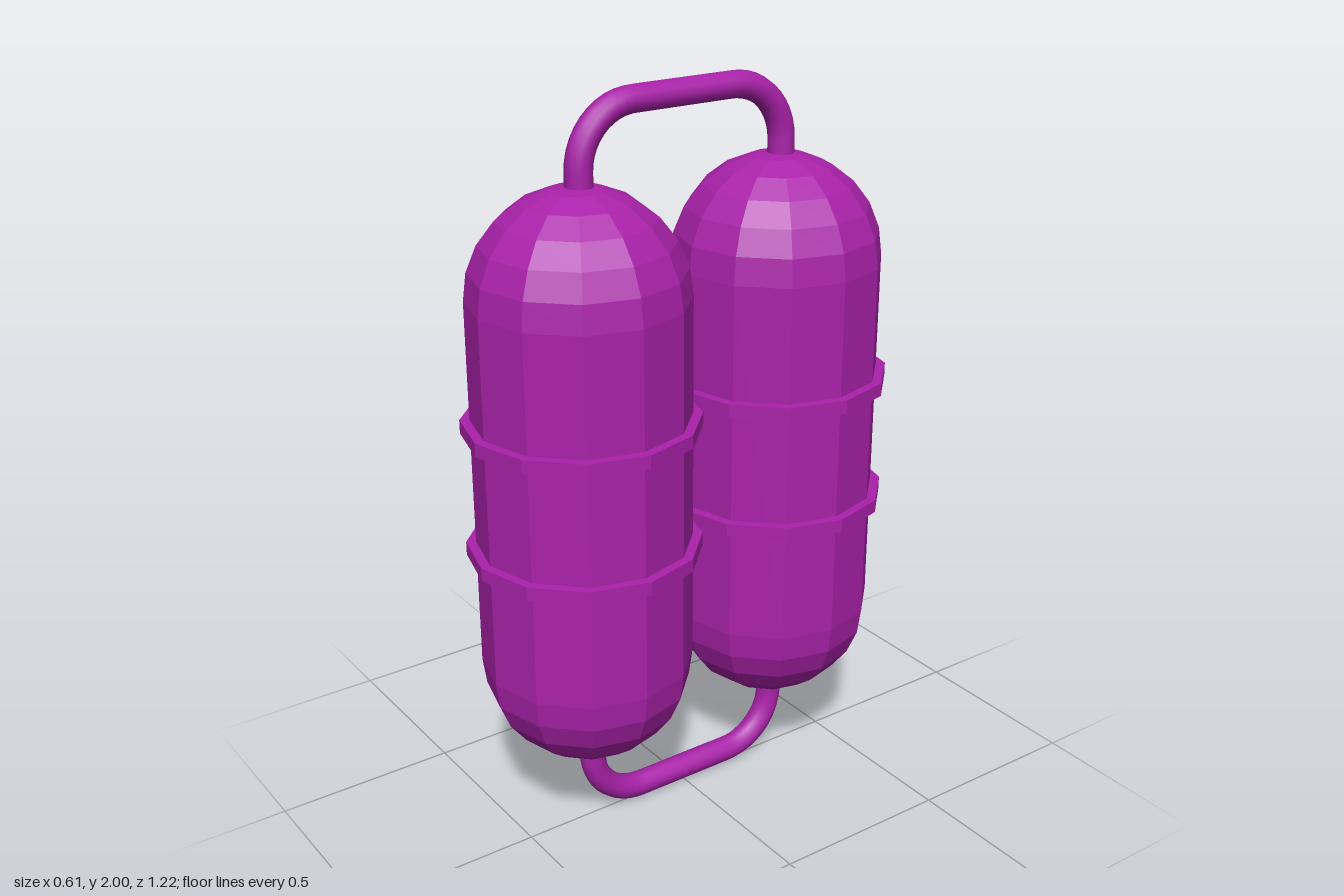
import * as THREE from 'three';

const SIDES = 12;
const TANK_RADIUS = 0.28;
const TANK_Z = 0.304;

// Capsule profile from bottom pole to top pole
function tankGeometry() {
  const points = [];
  const steps = 6;
  for (const [centerY, start] of [[0.51, -Math.PI / 2], [1.5, 0]]) {
    for (let i = 0; i <= steps; i++) {
      const a = start + (i / steps) * Math.PI / 2;
      points.push(new THREE.Vector2(Math.max(0, TANK_RADIUS * Math.cos(a)), centerY + TANK_RADIUS * Math.sin(a)));
    }
  }
  return new THREE.LatheGeometry(points, SIDES);
}

// U-shaped pipe with rounded corners joining the two tank ends
function pipeGeometry(endY, runY) {
  const front = 0.297, back = -0.312, bend = 0.155;
  const k = bend * 0.448; // handle distance from the corner for a circular bend
  const s = Math.sign(runY - endY);
  const p = (y, z) => new THREE.Vector3(0, y, z);
  const path = new THREE.CurvePath();
  const low = runY - s * bend;
  path.add(new THREE.LineCurve3(p(endY, front), p(low, front)));
  path.add(new THREE.CubicBezierCurve3(p(low, front), p(runY - s * k, front), p(runY, front - k), p(runY, front - bend)));
  path.add(new THREE.LineCurve3(p(runY, front - bend), p(runY, back + bend)));
  path.add(new THREE.CubicBezierCurve3(p(runY, back + bend), p(runY, back + k), p(runY - s * k, back), p(low, back)));
  path.add(new THREE.LineCurve3(p(low, back), p(endY, back)));
  return new THREE.TubeGeometry(path, 40, 0.035, 12, false);
}

export function createModel() {
  const model = new THREE.Group();
  model.name = 'twinTanks';
  const faceted = new THREE.MeshStandardMaterial({ color: 0xaa22aa, flatShading: true });
  const smooth = new THREE.MeshStandardMaterial({ color: 0xaa22aa });

  const add = (parent, name, geometry, material) => {
    const mesh = new THREE.Mesh(geometry, material);
    mesh.name = name;
    parent.add(mesh);
    return mesh;
  };

  // Two tanks, each with a pair of bands
  const tank = tankGeometry();
  const band = new THREE.CylinderGeometry(0.305, 0.305, 0.036, SIDES);
  for (const [name, z] of [['frontTank', TANK_Z], ['backTank', -TANK_Z]]) {
    const group = new THREE.Group();
    group.name = name;
    group.position.z = z;
    add(group, 'tankBody', tank, faceted);
    add(group, 'lowerBand', band, faceted).position.y = 0.837;
    add(group, 'upperBand', band, faceted).position.y = 1.175;
    model.add(group);
  }

  // Connecting pipes above and below
  add(model, 'topPipe', pipeGeometry(1.74, 1.965), smooth);
  add(model, 'bottomPipe', pipeGeometry(0.27, 0.035), smooth);
  return model;
}
